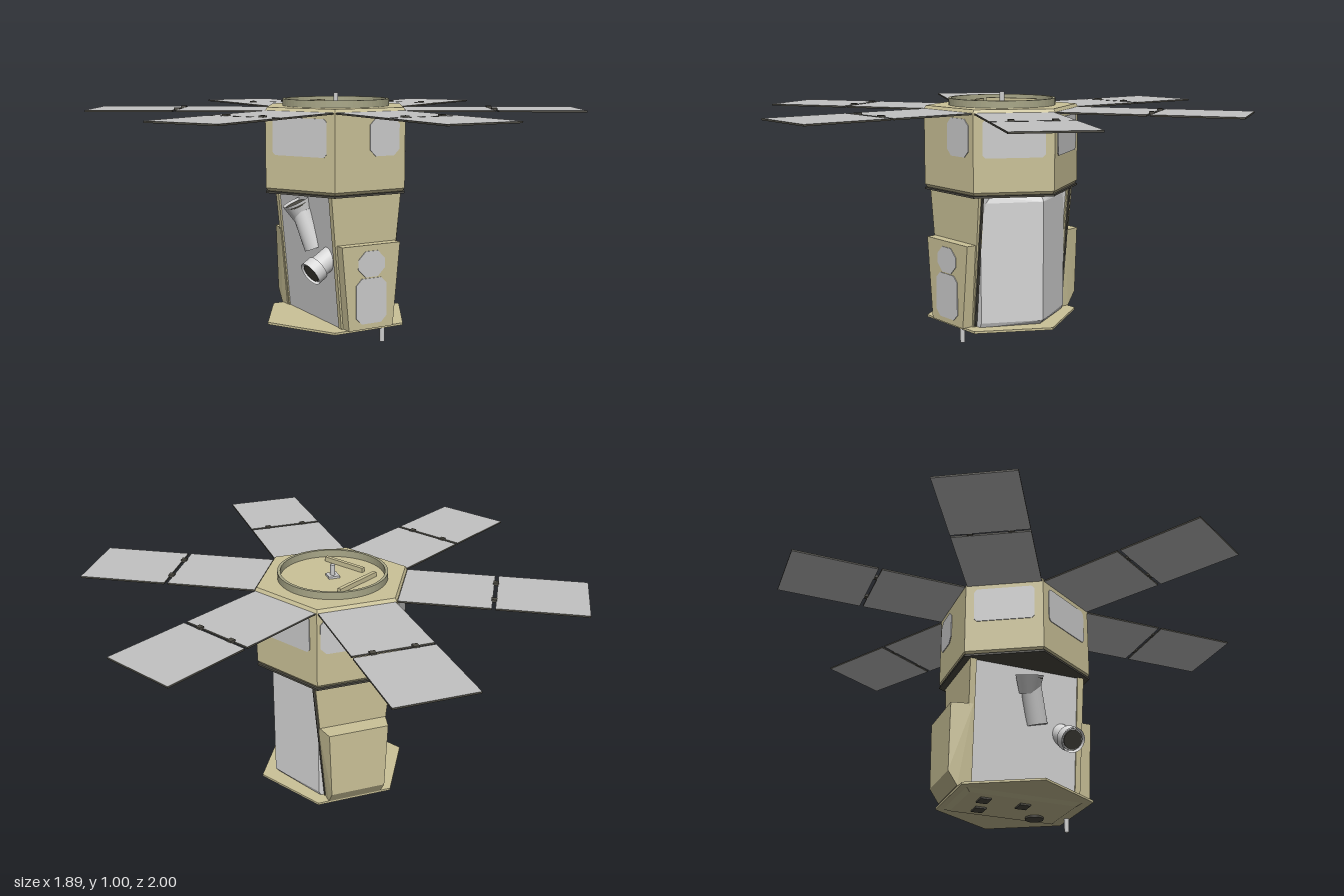
import * as THREE from 'three';
import { ConvexGeometry } from 'three/addons/geometries/ConvexGeometry.js';

const mat = (name, color, side = THREE.FrontSide) => {
  const m = new THREE.MeshStandardMaterial({ color, side });
  m.name = name;
  return m;
};

export function createModel() {
  const root = new THREE.Group();
  const foil = mat('tan foil', 0xcbc298);
  const silver = mat('silver blanket', 0xd6d6d6, THREE.DoubleSide);
  const cell = mat('panel grey', 0xc2c2c2);
  const pane = mat('window grey', 0xcdcdcd);
  const dark = mat('dark trim', 0x4c4a42);
  const rim = mat('olive rim', 0xa9a788, THREE.DoubleSide);

  const add = (parent, name, geo, material, x = 0, y = 0, z = 0) => {
    const m = new THREE.Mesh(geo, material);
    m.name = name;
    m.position.set(x, y, z);
    parent.add(m);
    return m;
  };
  const box = (parent, name, w, h, d, material, x, y, z) =>
    add(parent, name, new THREE.BoxGeometry(w, h, d), material, x, y, z);
  // convex solid through horizontal outlines: [[y, [[x, z], ...]], ...]
  const hull = (name, levels, material) => add(root, name, new ConvexGeometry(
    levels.flatMap(([y, pts]) => pts.map(([x, z]) => new THREE.Vector3(x, y, z)))), material);
  const hex = r => Array.from({ length: 6 }, (_, i) =>
    [r * Math.cos(i * Math.PI / 3), r * Math.sin(i * Math.PI / 3)]);
  const rect = (w, z0, z1) => [[-w, z0], [w, z0], [w, z1], [-w, z1]];
  // thin plate with cut corners, facing +z
  const plate = (parent, name, w, h, cut, x, y, z) => {
    const a = w / 2, b = h / 2;
    const s = new THREE.Shape([[-a + cut, -b], [a - cut, -b], [a, -b + cut], [a, b - cut],
      [a - cut, b], [-a + cut, b], [-a, b - cut], [-a, -b + cut]].map(p => new THREE.Vector2(...p)));
    return add(parent, name, new THREE.ExtrudeGeometry(s, { depth: 0.004, bevelEnabled: false }), pane, x, y, z);
  };
  // cylinder between two points
  const rod = (name, from, to, r0, r1, material, open = false) => {
    const a = new THREE.Vector3(...from), b = new THREE.Vector3(...to);
    const d = b.clone().sub(a);
    const m = add(root, name, new THREE.CylinderGeometry(r1, r0, d.length(), 24, 1, open), material);
    m.position.copy(a).add(b).multiplyScalar(0.5);
    m.quaternion.setFromUnitVectors(new THREE.Vector3(0, 1, 0), d.normalize());
    return m;
  };

  // upper hexagonal body
  hull('upperBody', [[0.613, hex(0.312)], [0.625, hex(0.322)], [0.935, hex(0.322)], [0.948, hex(0.314)]], foil);
  hull('upperBodyLip', [[0.604, hex(0.322)], [0.612, hex(0.322)]], dark);

  // six windows and six solar wings, one per hexagon side
  for (let i = 0; i < 6; i++) {
    const side = new THREE.Group();
    side.name = 'side' + (i + 1);
    side.rotation.y = i * Math.PI / 3;
    root.add(side);
    const end = i % 3 === 0;
    plate(side, 'window', end ? 0.135 : 0.25, 0.15, end ? 0.025 : 0.012,
      i === 0 ? 0.065 : i === 3 ? -0.08 : 0, 0.835, 0.278);
    const skin = [dark, dark, cell, cell, dark, dark];
    box(side, 'innerPanel', 0.312, 0.007, 0.355, skin, 0, 0.932, 0.4585);
    box(side, 'outerPanel', 0.312, 0.007, 0.35, skin, 0, 0.932, 0.825);
    for (const x of [-0.08, 0.08]) {
      box(side, 'hinge', 0.022, 0.012, 0.022, dark, x, 0.936, 0.642);
    }
  }

  // roof ring, bars and antenna
  const ring = [[0.208, 0.945], [0.22, 0.945], [0.22, 0.977], [0.208, 0.977], [0.208, 0.945]];
  add(root, 'roofRing', new THREE.LatheGeometry(ring.map(p => new THREE.Vector2(...p)), 64), rim).geometry =
    new THREE.LatheGeometry(ring.map(p => new THREE.Vector2(...p)), 64).toNonIndexed();
  root.getObjectByName('roofRing').geometry.computeVertexNormals();
  for (const [x0, z0, x1, z1] of [[0.03, -0.16, -0.16, -0.05], [-0.13, 0, -0.03, 0.165]]) {
    const bar = box(root, 'roofBar', Math.hypot(x1 - x0, z1 - z0), 0.02, 0.016, foil,
      (x0 + x1) / 2, 0.957, (z0 + z1) / 2);
    bar.rotation.y = -Math.atan2(z1 - z0, x1 - x0);
  }
  box(root, 'antennaBase', 0.045, 0.01, 0.045, pane, 0, 0.952, 0);
  rod('antenna', [0, 0.95, 0], [0, 1, 0], 0.01, 0.01, pane);

  // tapered lower body with foil end walls
  hull('lowerCore', [[0.065, rect(0.105, -0.23, 0.23)], [0.605, rect(0.152, -0.23, 0.23)]], silver);
  for (const s of [1, -1]) {
    hull(s > 0 ? 'frontWall' : 'backWall',
      [[0.065, rect(0.11, s * 0.22, s * 0.242)], [0.605, rect(0.16, s * 0.225, s * 0.252)]], foil);
  }
  // bulging blanket on the left side
  const bulge = k => [[0.05, 0.225], [0.14 * k, 0.225], [0.26 * k, 0], [0.14 * k, -0.225], [0.05, -0.225]];
  hull('sideBlanket', [[0.065, bulge(0.93)], [0.085, bulge(1)], [0.575, bulge(1)], [0.603, bulge(0.93)]], silver);
  for (const z of [0.235, -0.235]) {
    const trim = box(root, 'blanketTrim', 0.012, 0.53, 0.008, dark, 0.137, 0.335, z);
    trim.rotation.z = -0.09;
  }

  // front equipment box with two panes
  hull('frontBox', [[0.068, rect(0.102, 0.23, 0.29)], [0.41, rect(0.134, 0.23, 0.29)]], foil);
  plate(root, 'upperPane', 0.122, 0.105, 0.033, 0, 0.333, 0.289);
  plate(root, 'lowerPane', 0.14, 0.185, 0.025, 0, 0.183, 0.289);

  // back equipment box with a sloping underside
  hull('backBox', [[0.068, rect(0.115, -0.28, -0.23)], [0.125, rect(0.115, -0.318, -0.23)],
    [0.41, [[-0.145, -0.23], [0.145, -0.23], [0.125, -0.318], [-0.125, -0.318]]]], foil);

  // instruments on the right side
  rod('instrumentBody', [-0.125, 0.37, 0.05], [-0.165, 0.52, 0.01], 0.045, 0.042, silver);
  rod('upperHorn', [-0.155, 0.49, 0.005], [-0.185, 0.56, -0.005], 0.04, 0.058, silver, true);
  rod('upperHornOpening', [-0.178, 0.543, -0.002], [-0.181, 0.55, -0.003], 0.053, 0.055, dark);
  rod('lowerScope', [-0.09, 0.365, 0.16], [-0.205, 0.295, 0.17], 0.045, 0.045, silver);
  rod('lowerScopeCollar', [-0.175, 0.313, 0.167], [-0.213, 0.29, 0.171], 0.052, 0.052, silver, true);
  rod('lowerScopeLens', [-0.2, 0.298, 0.17], [-0.209, 0.2925, 0.171], 0.04, 0.04, dark);

  // base plate with underside fittings
  hull('basePlate', [[0.058, hex(0.32)], [0.067, hex(0.32)]], foil);
  hull('underTray', [[0.046, rect(0.12, -0.23, 0.22)], [0.058, rect(0.14, -0.25, 0.24)]], foil);
  for (const [x, z] of [[0.05, -0.13], [-0.06, -0.15], [-0.05, 0.02]]) {
    box(root, 'undersideFitting', 0.055, 0.008, 0.045, dark, x, 0.043, z);
  }
  rod('undersidePort', [0.07, 0.038, 0.12], [0.07, 0.047, 0.12], 0.038, 0.038, dark);
  rod('undersideProbe', [0.068, 0, 0.265], [0.068, 0.06, 0.265], 0.01, 0.01, pane);

  return root;
}
